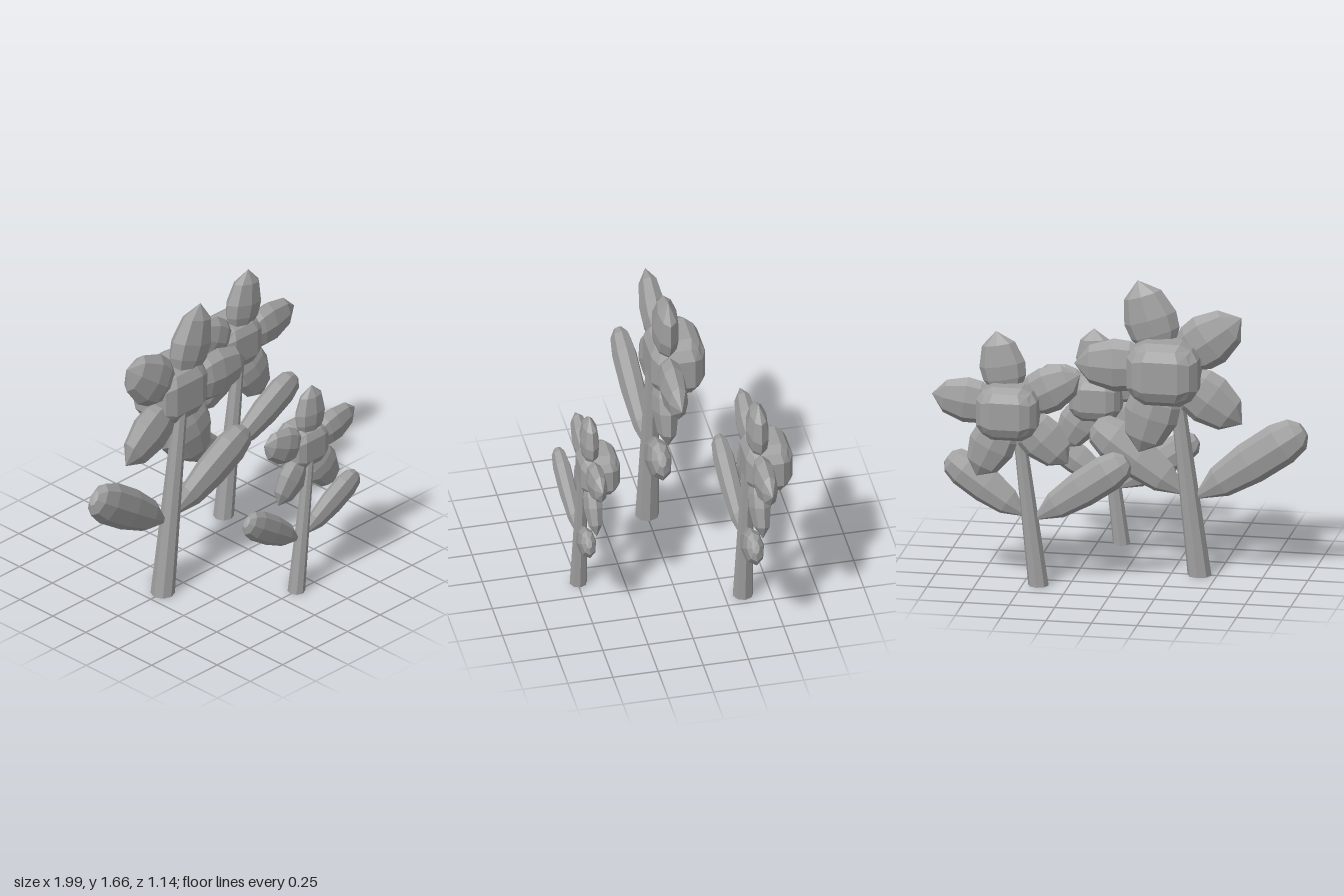
import * as THREE from 'three';

const grey = new THREE.MeshStandardMaterial({ color: 0xa0a0a0, flatShading: true });
grey.name = 'grey';

function part(name, geometry) {
  const mesh = new THREE.Mesh(geometry, grey);
  mesh.name = name;
  return mesh;
}

// Flattened eight-sided blade growing along +y from a [radius, height] profile
function bladeGeometry(profile, flatness) {
  const points = profile.map(([r, y]) => new THREE.Vector2(r, y));
  return new THREE.LatheGeometry(points, 8).scale(1, 1, flatness);
}

// Leaf stretched from its joint on the stem to its tip
function leaf(name, from, to) {
  const start = new THREE.Vector3(...from);
  const dir = new THREE.Vector3(...to).sub(start);
  const len = dir.length();
  const profile = [[0, 0], [0.09, 0.25], [0.118, 0.52], [0.12, 0.8], [0.095, 0.94], [0.045, 1.0], [0, 1.005]];
  const mesh = part(name, bladeGeometry(profile.map(([r, t]) => [r, t * len]), 0.56));
  mesh.position.copy(start);
  mesh.quaternion.setFromUnitVectors(new THREE.Vector3(0, 1, 0), dir.normalize());
  return mesh;
}

// Blocky ball: a box grid pushed out to a sphere, then squashed
function seedHeadGeometry() {
  const geo = new THREE.BoxGeometry(2, 2, 2, 3, 3, 3);
  const pos = geo.attributes.position;
  const v = new THREE.Vector3();
  const spread = (c) => (Math.abs(c) < 0.9 ? c * 1.5 : c);
  for (let i = 0; i < pos.count; i++) {
    v.fromBufferAttribute(pos, i);
    v.set(spread(v.x), spread(v.y), spread(v.z)).normalize();
    pos.setXYZ(i, v.x, v.y, v.z);
  }
  return geo.scale(0.238, 0.213, 0.183);
}

function createFlower(name, x, z, scale, turn) {
  const flower = new THREE.Group();
  flower.name = name;

  // Tapered stem, sheared sideways so both ends stay level
  const stemGeo = new THREE.CylinderGeometry(0.038, 0.066, 1.09, 8).translate(0, 0.545, 0);
  stemGeo.applyMatrix4(new THREE.Matrix4().makeShear(0, 0, 0.124, 0, 0, 0));
  flower.add(part('stem', stemGeo));

  // Pair of leaves
  flower.add(leaf('rightLeaf', [0.04, 0.425, -0.005], [-0.565, 0.84, 0.035]));
  flower.add(leaf('leftLeaf', [0.07, 0.445, 0], [0.59, 0.8, 0.05]));

  // Five petals around the head
  const head = new THREE.Group();
  head.name = 'flowerHead';
  head.position.set(0.172, 1.172, -0.042);
  const petalGeo = bladeGeometry(
    [[0, -0.01], [0.075, 0.08], [0.14, 0.2], [0.15, 0.29], [0.108, 0.425], [0, 0.51]], 0.48);
  for (let i = 0; i < 5; i++) {
    const petal = part('petal', petalGeo);
    petal.rotation.z = THREE.MathUtils.degToRad(turn - 90 + i * 72);
    head.add(petal);
  }

  // Seed head on the back
  const seedHead = part('seedHead', seedHeadGeometry());
  seedHead.position.z = -0.068;
  head.add(seedHead);
  flower.add(head);

  flower.position.set(x, 0, z);
  flower.scale.setScalar(scale);
  return flower;
}

export function createModel() {
  const model = new THREE.Group();
  model.name = 'flowers';
  model.add(createFlower('tallFlower', -0.405, -0.003, 1, 71.6));
  model.add(createFlower('middleFlower', 0.415, -0.35, 0.855, 79.5));
  model.add(createFlower('shortFlower', 0.118, 0.495, 0.722, 86.5));
  return model;
}
